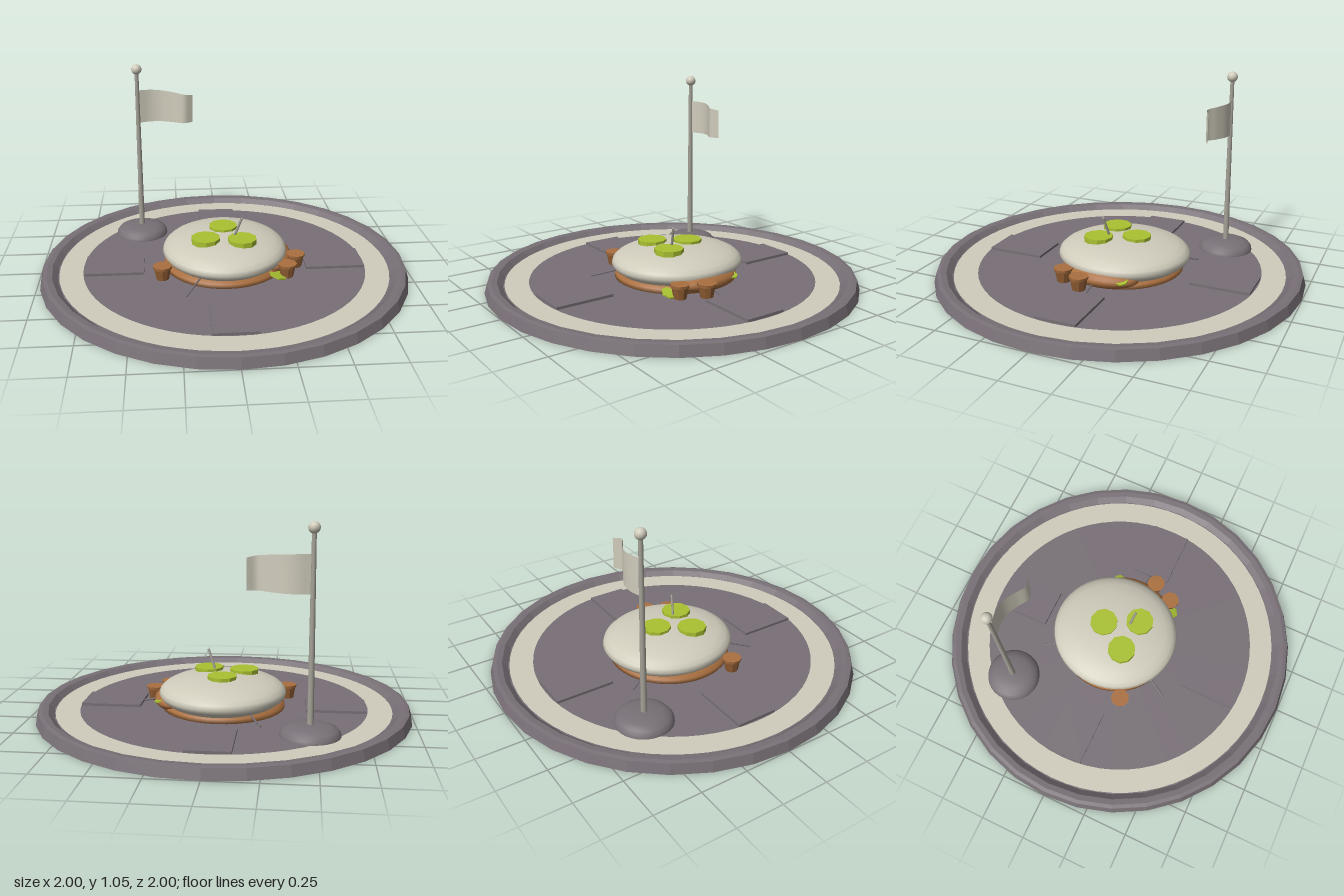
import * as THREE from 'three';

const mat = (name, color, extra = {}) => {
  const m = new THREE.MeshStandardMaterial({ color, ...extra });
  m.name = name;
  return m;
};

export function createModel() {
  const root = new THREE.Group();
  const both = { side: THREE.DoubleSide };
  const grey = mat('slate grey', 0x787076, { flatShading: true, ...both });
  const smoothGrey = mat('smooth slate grey', 0x787076);
  const cream = mat('cream', 0xd0ccbc, both);
  const pole = mat('pole grey', 0xa5a297);
  const green = mat('pickle green', 0xaac232, { flatShading: true, ...both });
  const brown = mat('patty brown', 0xaa7040, both);
  const cupBrown = mat('cup brown', 0x935f34, { flatShading: true });

  const FLOOR = 0.028;

  const add = (name, geo, material, x = 0, y = 0, z = 0) => {
    const m = new THREE.Mesh(geo, material);
    m.name = name;
    m.position.set(x, y, z);
    root.add(m);
    return m;
  };
  const lathe = (pts, n) =>
    new THREE.LatheGeometry(pts.map(p => new THREE.Vector2(p[0], p[1])), n);
  const rod = (name, a, b, r, material) => {
    const p = new THREE.Vector3(...a), q = new THREE.Vector3(...b);
    const m = add(name, new THREE.CylinderGeometry(r, r, p.distanceTo(q), 6), material);
    m.position.copy(p).lerp(q, 0.5);
    m.quaternion.setFromUnitVectors(new THREE.Vector3(0, 1, 0), q.sub(p).normalize());
    return m;
  };

  // Hollow plate with raised rim
  add('plate', lathe([[1, 0], [0.985, 0.052], [0.965, 0.056], [0.935, 0.053],
    [0.905, FLOOR], [0, FLOOR]], 32), grey);
  const ring = add('plateBand', new THREE.RingGeometry(0.77, 0.897, 64), cream, 0, FLOOR + 0.002, 0);
  ring.rotation.x = -Math.PI / 2;

  // Four raised pads around the plate
  for (let i = 0; i < 4; i++) {
    const a = i * Math.PI / 2;
    const pad = add('pad', new THREE.BoxGeometry(0.32, 0.014, 0.22), grey,
      0.6 * Math.cos(a), FLOOR + 0.007, -0.6 * Math.sin(a));
    pad.rotation.y = a;
  }

  // Patty ring, with a lump squeezed out on one side
  add('patty', lathe([[0.22, 0.024], [0.26, 0.014], [0.3, 0.013], [0.33, 0.03],
    [0.328, 0.052], [0.3, 0.07], [0.24, 0.075]], 40), brown, 0, 0, -0.02);
  const lump = add('pattyLump', new THREE.SphereGeometry(1, 24, 12), brown, 0.255, 0.072, -0.02);
  lump.scale.set(0.115, 0.056, 0.2);

  // Bun
  const bun = add('bun', lathe([[0, 0.04], [0.08, 0.035], [0.14, 0.018], [0.24, 0.02],
    [0.295, 0.06], [0.328, 0.085], [0.34, 0.108], [0.333, 0.13], [0.312, 0.15],
    [0.275, 0.169], [0.2, 0.189], [0.1, 0.2], [0, 0.203]], 48), cream, 0.003, 0, -0.03);
  bun.scale.z = 1.06;

  // Leaf scraps under the bun
  for (const [x, y, z, r] of [[0.27, 0.045, 0.2, 0.05], [0.32, 0.085, -0.15, 0.035]]) {
    const leaf = add('leaf', new THREE.CylinderGeometry(r, r, 0.008, 7), green, x, y, z);
    leaf.rotation.z = -0.3;
  }

  // Pickle slices on top
  for (const [x, z] of [[0, -0.1], [-0.105, 0.06], [0.09, 0.085]])
    add('pickle', new THREE.CylinderGeometry(0.079, 0.079, 0.034, 10), green, x, 0.198, z);

  // Pick and three thin rods radiating from under the bun
  rod('pick', [0.045, 0.19, 0.037], [0.09, 0.318, 0.057], 0.007, pole);
  for (let i = 0; i < 3; i++) {
    const c = Math.cos(i * 2 * Math.PI / 3), s = Math.sin(i * 2 * Math.PI / 3);
    rod('spoke', [0.27 * c, 0.07, 0.27 * s], [0.44 * c, 0.034, 0.44 * s], 0.005, smoothGrey);
  }

  // Small tapered cups
  for (const [x, z] of [[-0.34, 0.16], [0.322, 0.18], [0.385, 0.06]]) {
    add('cup', new THREE.CylinderGeometry(0.045, 0.034, 0.06, 9), cupBrown, x, FLOOR + 0.03, z);
    add('cupTop', new THREE.CylinderGeometry(0.052, 0.049, 0.016, 9), brown, x, 0.095, z);
  }

  // Flag stand
  const fx = -0.462, fz = -0.465;
  add('flagBase', lathe([[0.15, FLOOR], [0.147, 0.045], [0.132, 0.064], [0.1, 0.078],
    [0.05, 0.085], [0, 0.086]], 32), smoothGrey, fx, 0, fz);
  add('flagPole', new THREE.CylinderGeometry(0.011, 0.016, 0.93, 12), pole, fx, 0.545, fz);
  add('flagKnob', new THREE.SphereGeometry(0.029, 16, 12), cream, fx, 1.024, fz);

  // Waving flag, tapering slightly to its free end
  const wave = new THREE.CatmullRomCurve3([[-0.455, -0.465], [-0.39, -0.482], [-0.33, -0.477],
    [-0.26, -0.445], [-0.2, -0.41], [-0.15, -0.432]].map(p => new THREE.Vector3(p[0], 0, p[1])));
  const flag = new THREE.PlaneGeometry(1, 1, 20, 1);
  const pos = flag.attributes.position;
  for (let i = 0; i < pos.count; i++) {
    const t = pos.getX(i) + 0.5, p = wave.getPoint(t);
    const y = pos.getY(i) > 0 ? 0.903 - 0.025 * t * t : 0.713 + 0.008 * t;
    pos.setXYZ(i, p.x, y, p.z);
  }
  flag.computeVertexNormals();
  add('flag', flag, cream);

  return root;
}
